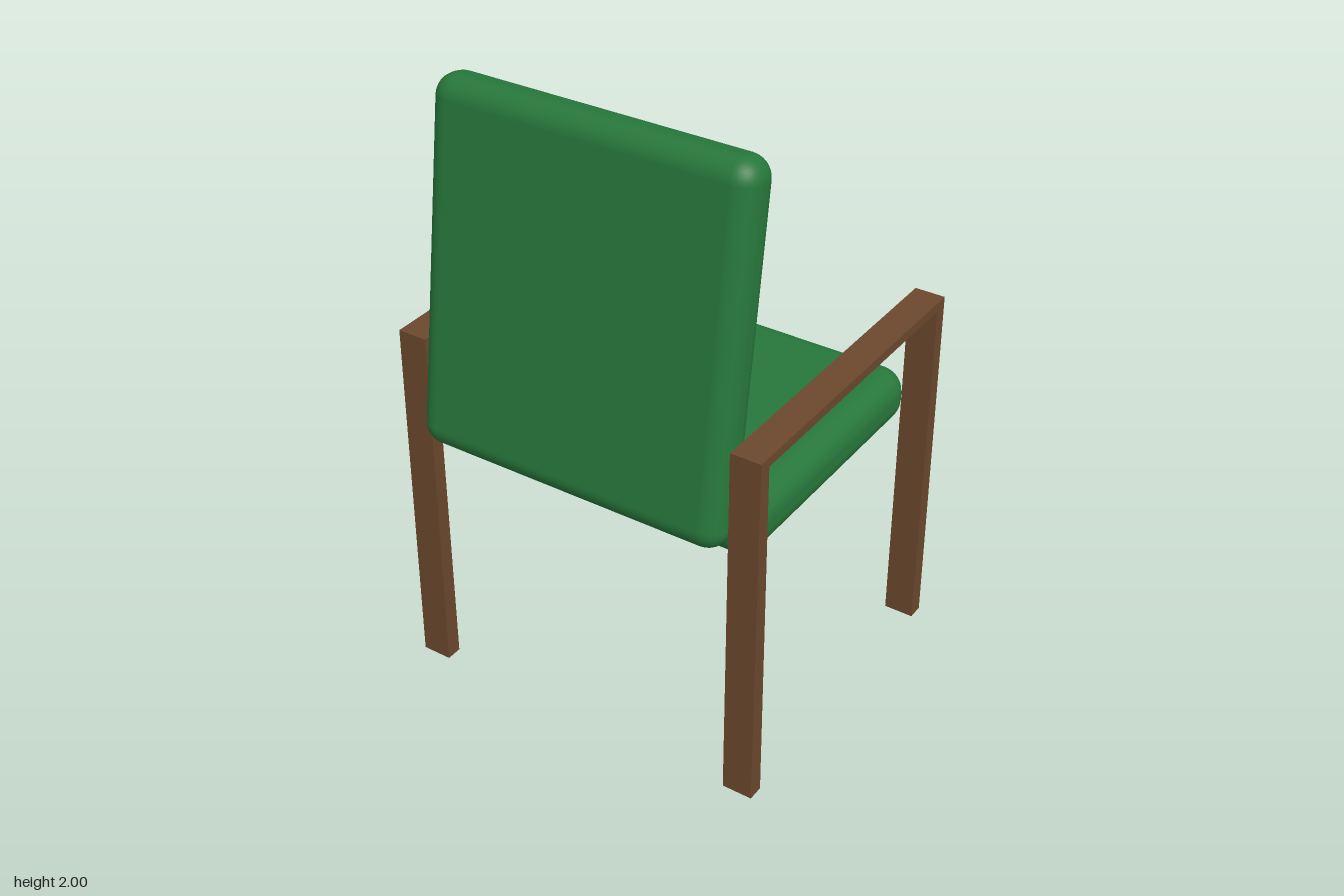
import * as THREE from 'three';
import { RoundedBoxGeometry } from 'three/addons/geometries/RoundedBoxGeometry.js';

export function createModel() {
  const chair = new THREE.Group();
  chair.name = 'armchair';
  const wood = new THREE.MeshStandardMaterial({ name: 'brown wood', color: 0x6b482d });
  const fabric = new THREE.MeshStandardMaterial({ name: 'green fabric', color: 0x27773b });

  // Side frame: two slightly flared legs joined by a flat armrest, one solid outline
  const outline = new THREE.Shape([
    [0.508, 0], [0.504, 1.2], [-0.552, 1.2], [-0.557, 0],
    [-0.504, 0], [-0.51, 1.17], [0.462, 1.17], [0.456, 0],
  ].map(([z, y]) => new THREE.Vector2(z, y)));
  const frameGeometry = new THREE.ExtrudeGeometry(outline, { depth: 0.098, bevelEnabled: false });
  frameGeometry.translate(0, 0, -0.049);
  frameGeometry.rotateY(-Math.PI / 2);
  for (const side of [1, -1]) {
    const frame = new THREE.Mesh(frameGeometry, wood);
    frame.name = side > 0 ? 'leftArmFrame' : 'rightArmFrame';
    frame.position.x = side * 0.571;
    chair.add(frame);
  }

  // Padded cushions
  function cushion(name, width, height, depth, radius, y, z, tilt = 0) {
    const mesh = new THREE.Mesh(new RoundedBoxGeometry(width, height, depth, 4, radius), fabric);
    mesh.name = name;
    mesh.position.set(0, y, z);
    mesh.rotation.x = tilt;
    chair.add(mesh);
  }
  cushion('seat', 1.045, 0.185, 0.955, 0.08, 0.823, -0.09);
  cushion('backrest', 1.045, 1.14, 0.148, 0.068, 1.435, 0.423, THREE.MathUtils.degToRad(-8));

  return chair;
}
